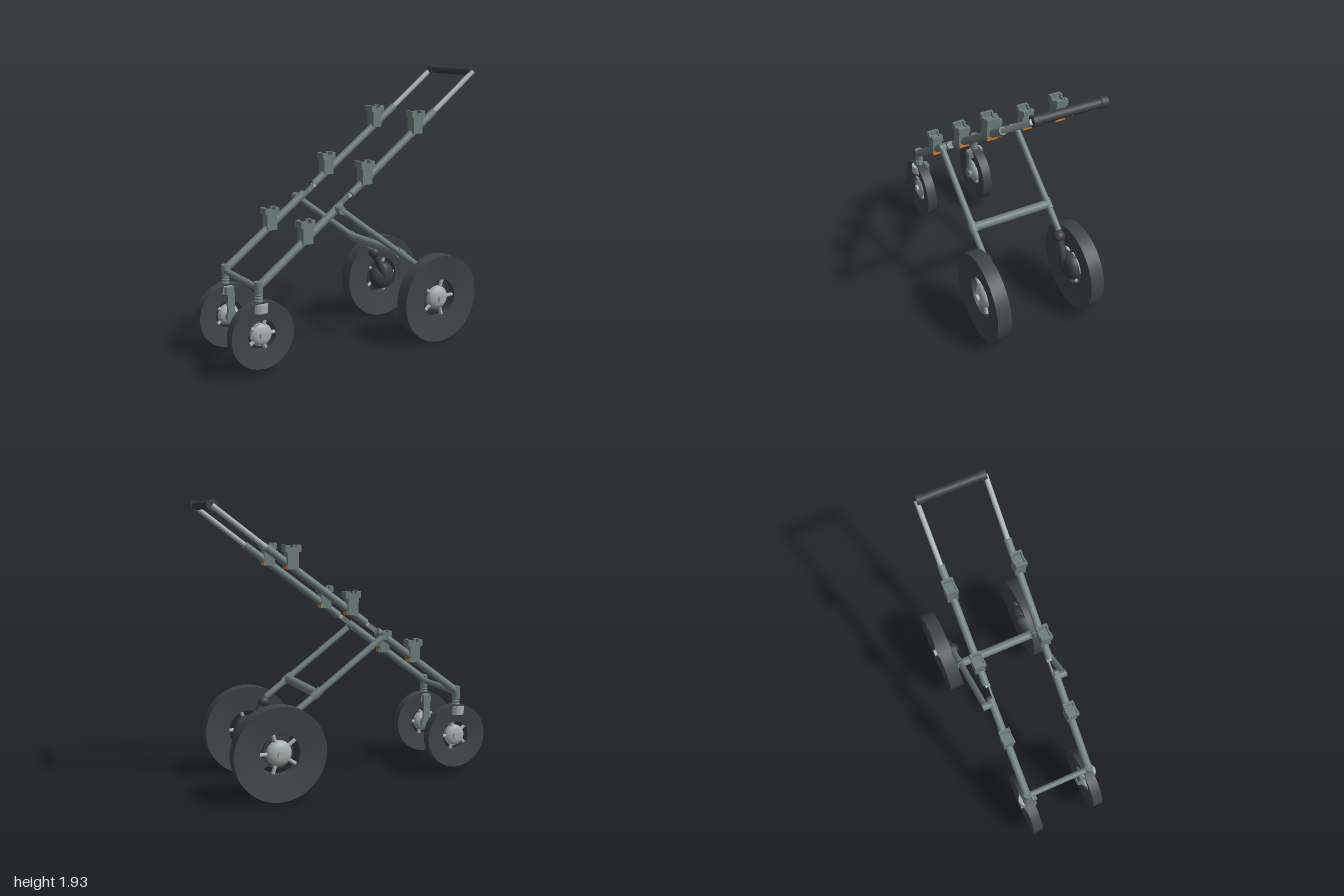
import * as THREE from 'three';
import { toCreasedNormals } from 'three/addons/utils/BufferGeometryUtils.js';

const mat = (name, color) => new THREE.MeshStandardMaterial({ name, color });

export function createModel() {
  const frame = mat('frame grey green', 0x6c7d7b);
  const steel = mat('light steel', 0xa3adab);
  const rubber = mat('tyre rubber', 0x414549);
  const grip = mat('dark grip', 0x3b3d41);
  const orange = mat('orange', 0xd57a28);
  const root = new THREE.Group();
  root.name = 'pushCart';

  const V = (x, y, z) => new THREE.Vector3(x, y, z);
  const add = (name, geo, material, x = 0, y = 0, z = 0, parent = root) => {
    const m = new THREE.Mesh(geo, material);
    m.name = name;
    m.position.set(x, y, z);
    parent.add(m);
    return m;
  };
  // Round bar between two points
  const bar = (name, a, b, r, material, r2 = r, parent = root) => {
    const d = b.clone().sub(a);
    const m = add(name, new THREE.CylinderGeometry(r2, r, d.length(), 20), material, 0, 0, 0, parent);
    m.position.copy(a).add(b).multiplyScalar(0.5);
    m.quaternion.setFromUnitVectors(V(0, 1, 0), d.normalize());
    return m;
  };
  // Turned part whose axis points outward along z
  const turned = (points, s) => {
    const g = new THREE.LatheGeometry(points.map(p => new THREE.Vector2(p[0], p[1])), 56);
    return toCreasedNormals(g.rotateX(s * Math.PI / 2), 0.6);
  };
  const dome = (r, depth, s) => {
    const pts = [[0, -depth * 0.3], [r, -depth * 0.3]];
    for (let i = 0; i <= 8; i++) {
      const a = i / 8 * Math.PI / 2;
      pts.push([i === 8 ? 0 : r * Math.cos(a), depth * Math.sin(a)]);
    }
    return turned(pts, s);
  };
  // Wheel: dished tyre, five spokes and a domed hub
  const wheel = (name, x, y, z, s, R, ri, h, dish, hubR) => {
    const w = new THREE.Group();
    w.name = name;
    w.position.set(x, y, z);
    root.add(w);
    const c = h - dish;
    add('tyre', turned([[ri, -c], [R, -h], [R, h], [ri, c], [ri, -c]], s), rubber, 0, 0, 0, w);
    for (let i = 0; i < 5; i++) {
      const a = i * Math.PI * 2 / 5;
      const p = r => V(r * Math.cos(a), r * Math.sin(a), 0);
      bar('spoke', p(hubR * 0.5), p(ri + 0.006), 0.013, steel, 0.013, w);
    }
    add('hubDome', dome(hubR, h * 0.85, s), steel, 0, 0, 0, w);
    bar('axleCap', V(0, 0, 0), V(0, 0, s * (h + 0.01)), 0.025, steel, 0.025, w);
    return w;
  };

  // Rail line in the side plane
  const railY = x => 0.6 + (x + 0.78) * 0.739;
  const onRail = (x, z) => V(x, railY(x), z);
  const slope = Math.atan(0.739);

  // Cargo bracket: post with a hollow, notched head
  const bracket = (x, y, z) => {
    const b = new THREE.Group();
    b.name = 'cargoBracket';
    b.position.set(x, y, z);
    root.add(b);
    add('post', new THREE.BoxGeometry(0.075, 0.115, 0.074), frame, 0, 0.0575, 0, b);
    for (const i of [-1, 1]) {
      add('headEnd', new THREE.BoxGeometry(0.016, 0.042, 0.08), frame, i * 0.046, 0.134, 0, b);
      add('headSide', new THREE.BoxGeometry(0.08, 0.026, 0.012), frame, 0, 0.126, i * 0.034, b);
      for (const j of [-1, 1])
        add('headCorner', new THREE.BoxGeometry(0.018, 0.016, 0.012), frame, i * 0.03, 0.147, j * 0.034, b);
    }
    add('headFloor', new THREE.BoxGeometry(0.1, 0.012, 0.08), frame, 0, 0.117, 0, b);
    add('lockTab', new THREE.BoxGeometry(0.004, 0.026, 0.066), orange, 0.039, 0.013, 0, b);
  };

  for (const s of [1, -1]) {
    const z = 0.24 * s;
    // Lower and upper rails, joined by a thin folding link
    bar('lowerRail', onRail(-0.785, z), onRail(-0.16, z), 0.027, frame);
    bar('upperRail', onRail(-0.08, z - 0.005 * s), onRail(0.615, z - 0.005 * s), 0.026, frame);
    const link = add('foldingLink', new THREE.BoxGeometry(0.17, 0.032, 0.012), frame,
      -0.115, railY(-0.115), 0.222 * s);
    link.rotation.z = slope;
    bar('linkPin', V(-0.09, railY(-0.09), 0.21 * s), V(-0.09, railY(-0.09), 0.245 * s), 0.013, steel);
    bar('handleTube', onRail(0.6, 0.235 * s), V(0.96, 1.893, 0.235 * s), 0.018, steel);
    for (const [x, y] of [[-0.438, 0.83], [0.027, 1.178], [0.447, 1.49]]) bracket(x, y, z);

    // Rear leg with hinge, sleeve and axle bracket
    const zl = 0.292 * s;
    bar('legHinge', V(-0.195, 1.03, 0.225 * s), V(-0.195, 1.03, 0.312 * s), 0.027, frame);
    bar('rearLeg', V(-0.195, 1.03, zl), V(0.46, 0.55, zl), 0.022, frame);
    bar('legSleeve', V(0.265, 0.695, zl), V(0.325, 0.65, zl), 0.028, frame);
    add('legEndBall', new THREE.SphereGeometry(0.042, 24, 16), grip, 0.48, 0.52, 0.283 * s);
    bar('axleBracket', V(0.48, 0.52, 0.283 * s), V(0.58, 0.32, 0.283 * s), 0.028, grip);

    // Rear wheel with dark inner drum
    wheel('rearWheel', 0.583, 0.315, 0.354 * s, s, 0.314, 0.138, 0.05, 0.024, 0.085);
    add('innerDrum', dome(0.105, 0.06, -s), grip, 0.583, 0.315, 0.318 * s);

    // Caster: post, spring, crown, fork arm and wheel
    bar('casterPost', V(-0.788, 0.548, z), V(-0.788, 0.628, z), 0.028, frame);
    bar('springCore', V(-0.788, 0.48, z), V(-0.788, 0.55, z), 0.02, frame);
    for (let i = 0; i < 3; i++) {
      const ring = add('springCoil', new THREE.TorusGeometry(0.021, 0.008, 8, 24), frame, -0.788, 0.503 + i * 0.02, z);
      ring.rotation.x = Math.PI / 2;
    }
    add('forkCrown', new THREE.CylinderGeometry(0.054, 0.054, 0.058, 32), steel, -0.787, 0.46, z + 0.008 * s);
    add('crownMark', new THREE.BoxGeometry(0.006, 0.03, 0.03), orange, -0.841, 0.455, z + 0.012 * s);
    add('forkShoulder', new THREE.BoxGeometry(0.06, 0.05, 0.05), frame, -0.785, 0.458, 0.196 * s);
    add('forkArm', new THREE.BoxGeometry(0.052, 0.2, 0.022), frame, -0.78, 0.375, 0.184 * s);
    bar('forkFoot', V(-0.777, 0.275, 0.168 * s), V(-0.777, 0.275, 0.2 * s), 0.04, frame);
    wheel('casterWheel', -0.777, 0.275, z, s, 0.225, 0.1, 0.036, 0.016, 0.074);
    add('innerHub', dome(0.074, 0.045, -s), steel, -0.777, 0.275, z - 0.005 * s);

    // Handle corner knob
    bar('handleKnob', V(0.96, 1.895, 0.193 * s), V(0.96, 1.895, 0.238 * s), 0.035, grip);
  }

  // Cross members and push handle
  bar('frontCrossTube', V(-0.788, 0.585, -0.24), V(-0.788, 0.585, 0.24), 0.021, frame);
  bar('legCrossTube', V(0.292, 0.668, -0.285), V(0.292, 0.668, 0.285), 0.031, frame);
  bar('handleGrip', V(0.96, 1.895, -0.2), V(0.96, 1.895, 0.2), 0.028, grip);
  return root;
}
